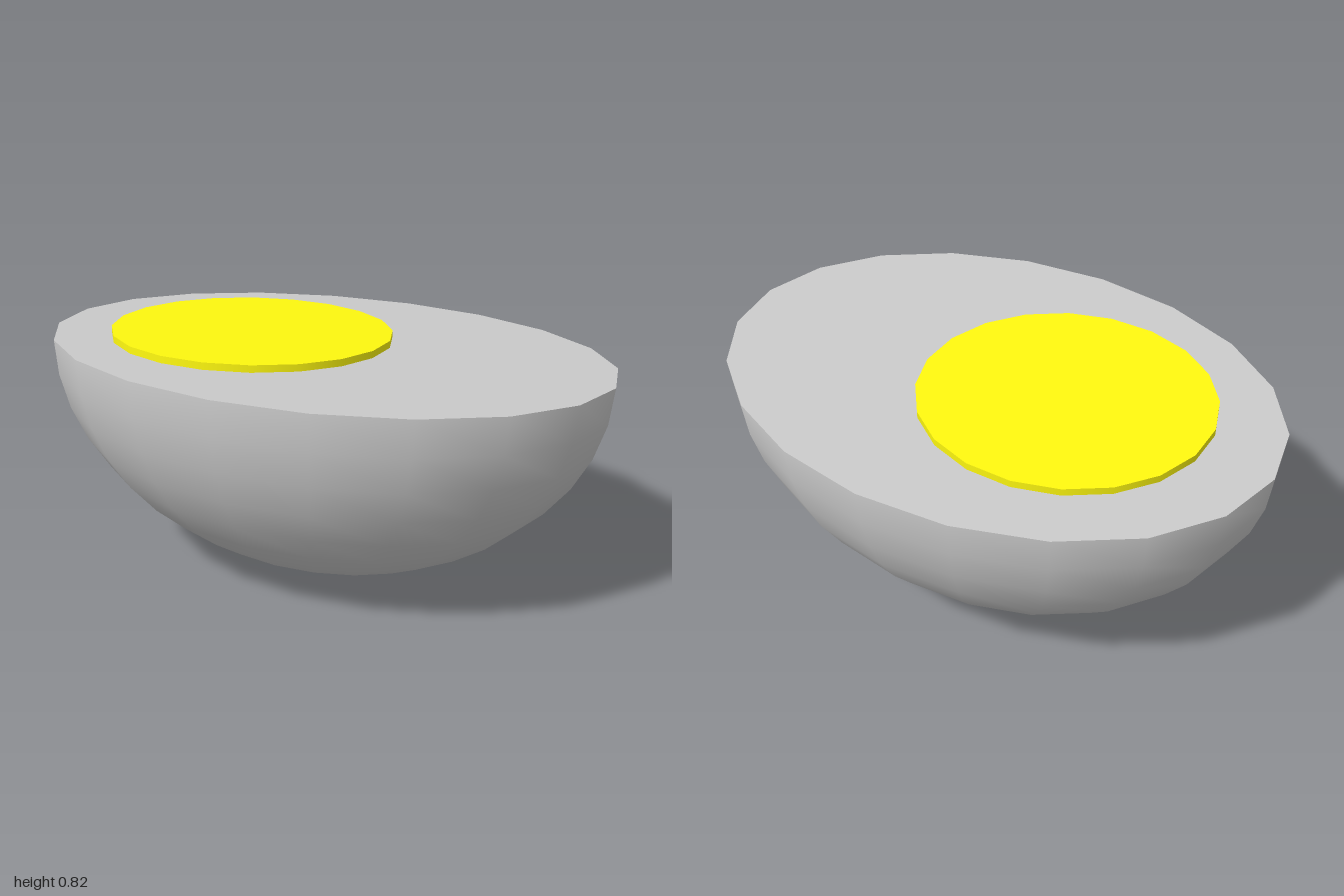
import * as THREE from 'three';

const SIDES = 20;
const TILT = 0.035; // two degrees
const RADII = [1, 0.777, 0.722]; // half-sizes of the egg

function part(name, geometry, color) {
  const mesh = new THREE.Mesh(geometry, new THREE.MeshStandardMaterial({ color }));
  mesh.name = name;
  return mesh;
}

export function createModel() {
  const model = new THREE.Group();
  model.name = 'halvedEgg';

  // The whole egg leans slightly, higher at the front
  const egg = new THREE.Group();
  egg.name = 'egg';
  egg.position.set(0, 0.777, -0.002);
  egg.rotation.x = -TILT;
  model.add(egg);

  // Egg white: lower half of an ellipsoid, closed by a flat cut face
  const white = new THREE.Group();
  white.name = 'eggWhite';
  white.rotation.y = TILT;
  const bowl = new THREE.SphereGeometry(1, SIDES, 10, 0, Math.PI * 2, Math.PI / 2, Math.PI / 2);
  bowl.scale(...RADII);
  const cut = new THREE.CircleGeometry(1, SIDES);
  cut.rotateX(-Math.PI / 2);
  cut.scale(...RADII);
  white.add(part('eggWhiteBowl', bowl, 0xcccccc), part('cutFace', cut, 0xcccccc));
  egg.add(white);

  // Yolk: thin oval disc resting off-centre on the cut face
  const disc = new THREE.CylinderGeometry(1, 1, 0.03, SIDES, 1, false, -THREE.MathUtils.degToRad(5.4));
  disc.scale(0.497, 1, 0.468);
  const yolk = part('yolk', disc, 0xfff90f);
  yolk.position.set(-0.273, 0.009, 0.02);
  egg.add(yolk);

  return model;
}
